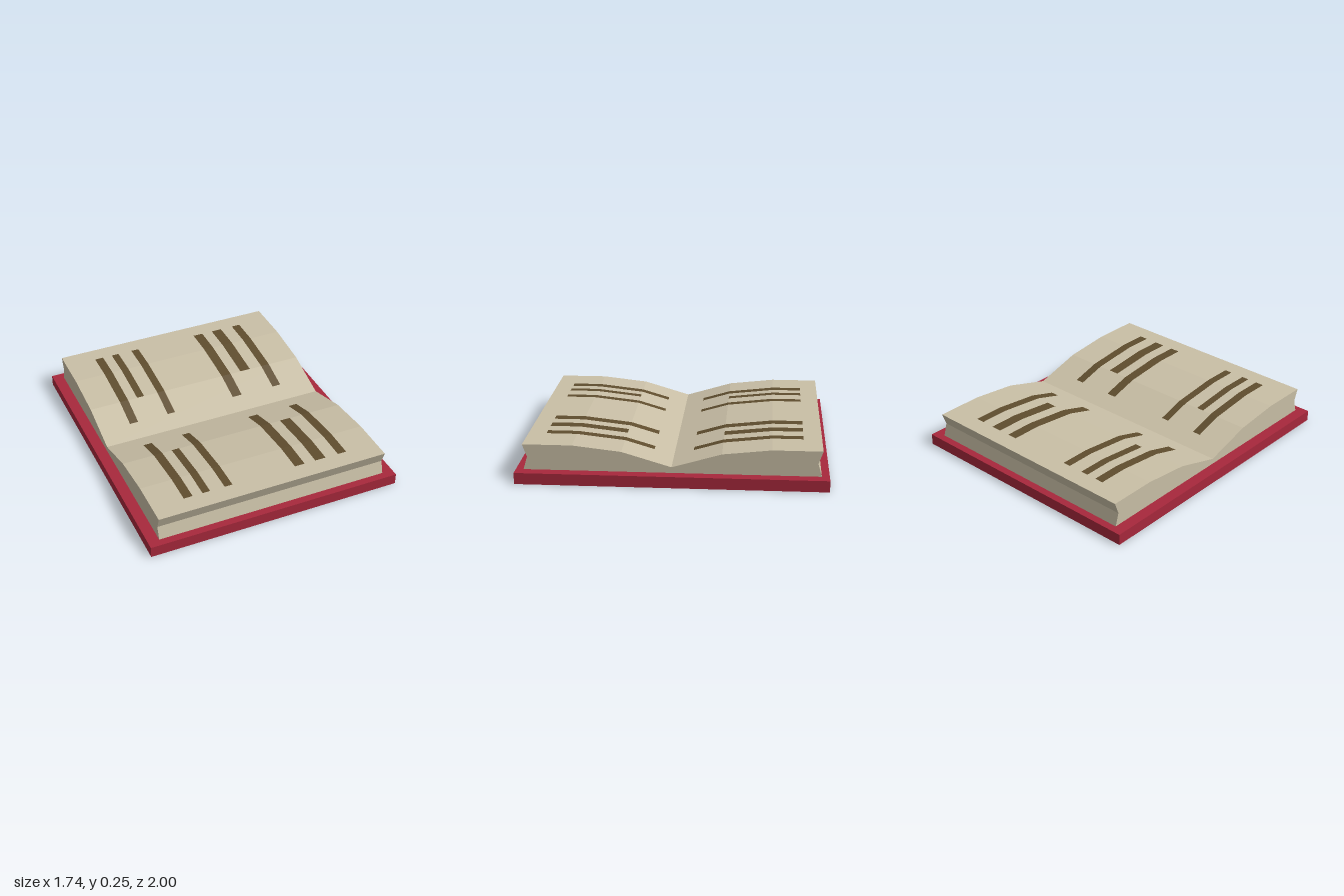
import * as THREE from 'three';

// Half of the page surface, from the gutter to the outer edge: [z, y]
const CURVE = [[0, 0.113], [0.32, 0.208], [0.635, 0.243], [0.955, 0.243]];
// Hollowed page edge below it
const EDGE = [[0.925, 0.16], [0.95, 0.075]];

// Height of the page surface at a given z
function pageHeight(z) {
  const d = Math.abs(z);
  const i = Math.max(1, CURVE.findIndex(([cz]) => cz >= d));
  const [z0, y0] = CURVE[i - 1], [z1, y1] = CURVE[i];
  return y0 + (y1 - y0) * (d - z0) / (z1 - z0);
}

// Thin strip that follows the page surface through the given z stations
function lineStrip(x0, x1, stations, material) {
  const geo = new THREE.PlaneGeometry(x1 - x0, 1, 1, stations.length - 1);
  const pos = geo.attributes.position;
  for (let i = 0; i < pos.count; i++) {
    const z = stations[Math.floor(i / 2)];
    pos.setXYZ(i, pos.getX(i) + (x0 + x1) / 2, pageHeight(z) + 0.002, z);
  }
  geo.computeVertexNormals();
  return new THREE.Mesh(geo, material);
}

export function createModel() {
  const group = new THREE.Group();
  const paint = (color, extra = {}) => new THREE.MeshStandardMaterial({ color, flatShading: true, ...extra });
  const ink = paint(0x5f4d2e, { side: THREE.DoubleSide });

  // Cover board
  const cover = new THREE.Mesh(new THREE.BoxGeometry(1.74, 0.075, 2), paint(0xa8283c));
  cover.position.y = 0.0375;
  cover.name = 'cover';
  group.add(cover);

  // Open page block, its mirrored profile extruded across the width
  const half = [...CURVE, ...EDGE];
  const outline = [...half, ...half.slice(1).reverse().map(([z, y]) => [-z, y])];
  const shape = new THREE.Shape(outline.map(([z, y]) => new THREE.Vector2(z, y)));
  const pageGeo = new THREE.ExtrudeGeometry(shape, { depth: 1.59, bevelEnabled: false });
  pageGeo.translate(0, 0, -0.795).rotateY(Math.PI / 2);
  const pages = new THREE.Mesh(pageGeo, paint(0xc9bfa6));
  pages.name = 'pages';
  group.add(pages);

  // Writing lines on both pages: [x start, x end, inner z]
  const lines = [
    [-0.58, -0.52, 0.128], [-0.452, -0.4, 0.32], [-0.3, -0.246, 0.128],
    [0.197, 0.267, 0.128], [0.345, 0.42, 0.32], [0.511, 0.572, 0.128],
  ];
  const writing = new THREE.Group();
  writing.name = 'writing';
  for (const [x0, x1, inner] of lines) {
    const near = [...new Set([inner, 0.32, 0.635, 0.836])];
    const far = near.map(z => -z).reverse();
    for (const stations of [near, far]) {
      const strip = lineStrip(x0, x1, stations, ink);
      strip.name = 'writingLine';
      writing.add(strip);
    }
  }
  group.add(writing);
  return group;
}
